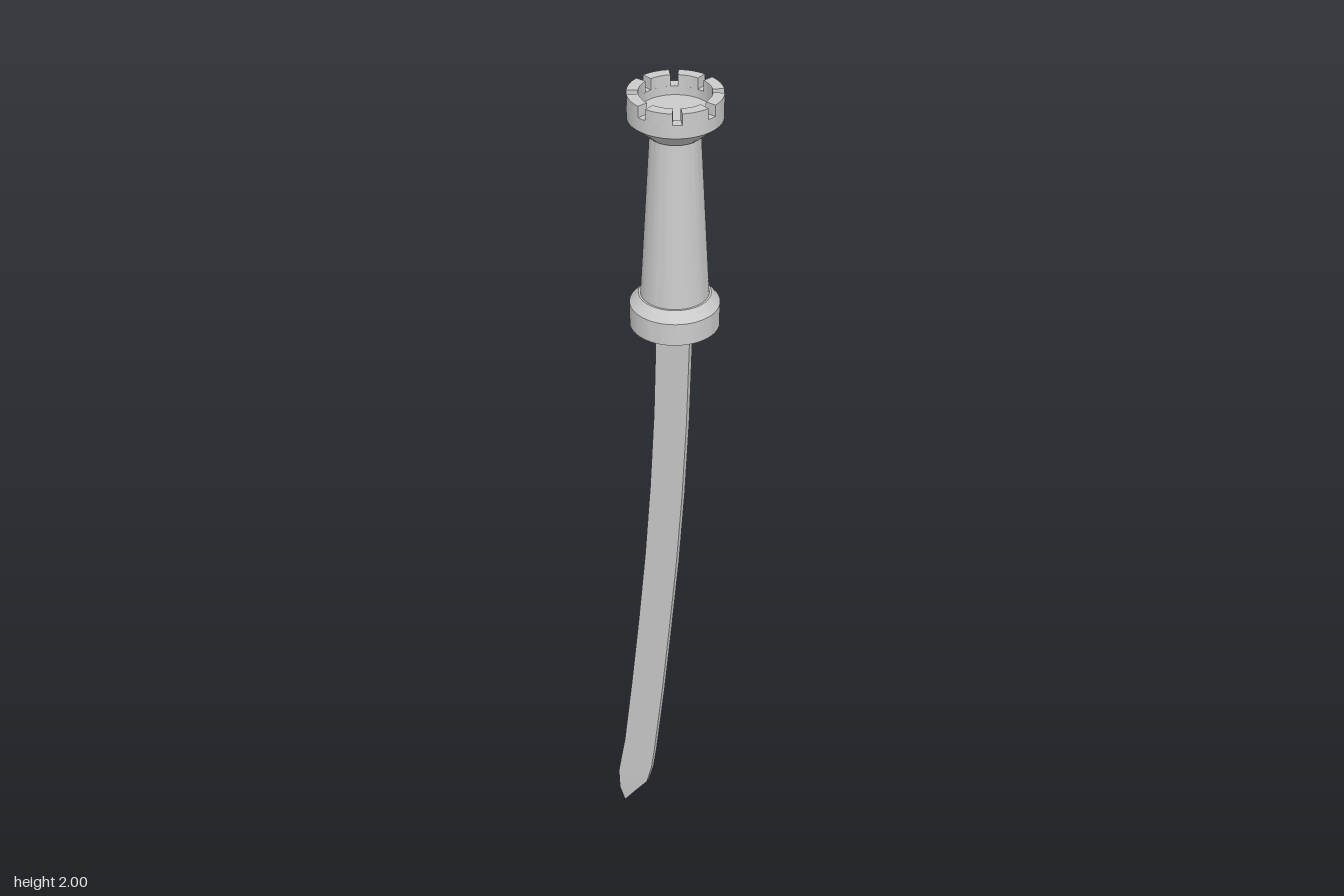
import * as THREE from 'three';
import { toCreasedNormals } from 'three/addons/utils/BufferGeometryUtils.js';

const CENTRE_X = 0.025;
const material = new THREE.MeshStandardMaterial({ color: 0xcccccc });

function addMesh(parent, name, geometry) {
  const mesh = new THREE.Mesh(geometry, material);
  mesh.name = name;
  parent.add(mesh);
  return mesh;
}

// Turned part from [radius, y] pairs, listed from the bottom outwards and up
function turned(points) {
  const profile = points.map(([r, y]) => new THREE.Vector2(r, y));
  return toCreasedNormals(new THREE.LatheGeometry(profile, 64), 0.4);
}

// Curved single-edged blade: a wedge section, thick at the spine (+x)
function bladeGeometry() {
  // y, edge x, spine x, half thickness at the edge, half thickness at the spine
  const rows = [
    [0.0, -0.112, -0.109, 0.0005, 0.0005],
    [0.035, -0.125, -0.085, 0.001, 0.003],
    [0.09, -0.127, -0.046, 0.0015, 0.007],
    [0.14, -0.119, -0.033, 0.0015, 0.007],
    [0.2, -0.109, -0.025, 0.0015, 0.007],
    [0.4, -0.087, -0.003, 0.0015, 0.007],
    [0.6, -0.067, 0.016, 0.0015, 0.007],
    [0.8, -0.049, 0.034, 0.0015, 0.007],
    [1.0, -0.035, 0.048, 0.0015, 0.007],
    [1.2, -0.025, 0.058, 0.0015, 0.007],
    [1.48, -0.018, 0.066, 0.0015, 0.007],
  ];
  const positions = [];
  const index = [];
  rows.forEach(([y, xe, xs, he, hs]) => {
    positions.push(xe, y, he, xs, y, hs, xs, y, -hs, xe, y, -he);
  });
  for (let i = 0; i < rows.length - 1; i++) {
    for (let k = 0; k < 4; k++) {
      const a = i * 4 + k;
      const b = i * 4 + ((k + 1) % 4);
      index.push(a, b, b + 4, a, b + 4, a + 4);
    }
  }
  const t = (rows.length - 1) * 4;
  index.push(2, 1, 0, 3, 2, 0, t, t + 1, t + 2, t, t + 2, t + 3);
  const geometry = new THREE.BufferGeometry();
  geometry.setAttribute('position', new THREE.Float32BufferAttribute(positions, 3));
  geometry.setIndex(index);
  return toCreasedNormals(geometry, 0.4);
}

// One block of the battlement: a ring sector raised upwards
function merlonGeometry(inner, outer, angle, height) {
  const shape = new THREE.Shape();
  shape.absarc(0, 0, outer, -angle / 2, angle / 2, false);
  shape.absarc(0, 0, inner, angle / 2, -angle / 2, true);
  shape.closePath();
  const geometry = new THREE.ExtrudeGeometry(shape, {
    depth: height, bevelEnabled: false, curveSegments: 8,
  });
  geometry.rotateX(-Math.PI / 2);
  return toCreasedNormals(geometry, 0.4);
}

export function createModel() {
  const model = new THREE.Group();
  model.name = 'towerHandledSword';
  addMesh(model, 'blade', bladeGeometry());

  const handle = new THREE.Group();
  handle.name = 'handle';
  handle.position.x = CENTRE_X;
  model.add(handle);

  // Stepped foot that acts as the guard
  addMesh(handle, 'guard', turned([
    [0, 1.455], [0.097, 1.455], [0.097, 1.507], [0.078, 1.53], [0, 1.53],
  ]));
  // Tapering grip
  addMesh(handle, 'grip', turned([[0.074, 1.525], [0.053, 1.915]]));
  // Flared head with a hollow top
  addMesh(handle, 'head', turned([
    [0, 1.908], [0.058, 1.908], [0.1, 1.945], [0.1, 1.975],
    [0.076, 1.975], [0.076, 1.955], [0, 1.955],
  ]));

  // Battlement of eight blocks with narrow gaps between
  const count = 8;
  const step = (Math.PI * 2) / count;
  const gap = THREE.MathUtils.degToRad(11.5);
  const firstGap = THREE.MathUtils.degToRad(29);
  const merlon = merlonGeometry(0.076, 0.1, step - gap, 0.025);
  for (let i = 0; i < count; i++) {
    const block = addMesh(handle, 'merlon', merlon);
    block.position.y = 1.975;
    block.rotation.y = firstGap + (i + 0.5) * step;
  }
  return model;
}
